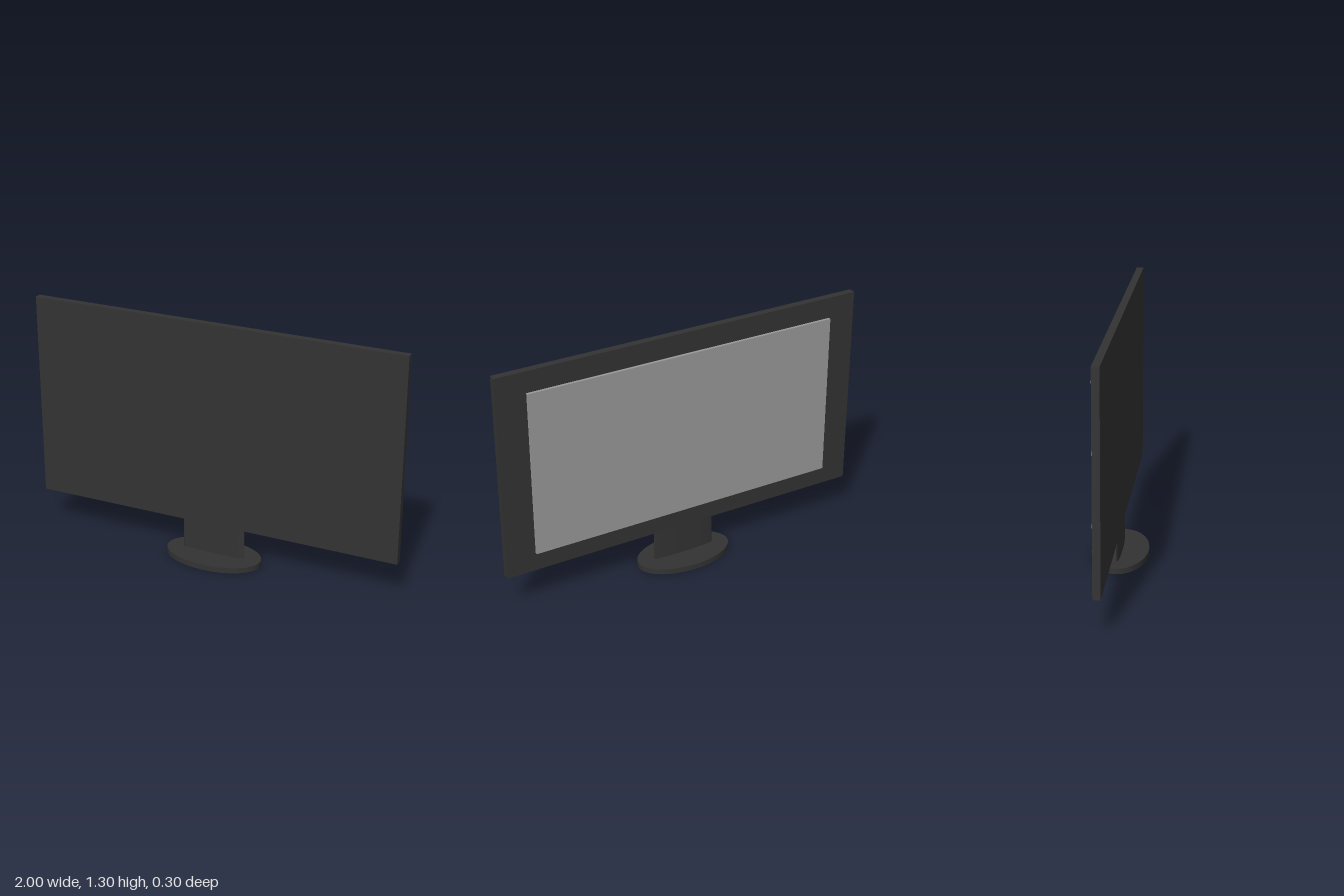
import * as THREE from 'three';

export function createModel() {
  const model = new THREE.Group();
  const dark = new THREE.MeshStandardMaterial({ color: 0x333333 });
  const grey = new THREE.MeshStandardMaterial({ color: 0x999999 });

  // Places a geometry so that it rests on height y
  const add = (name, geometry, material, x, y, z, height) => {
    const mesh = new THREE.Mesh(geometry, material);
    mesh.name = name;
    mesh.position.set(x, y + height / 2, z);
    model.add(mesh);
  };

  // Upright cylinder with an oval footprint
  const oval = (rx, rz, height) =>
    new THREE.CylinderGeometry(1, 1, height, 48).scale(rx, 1, rz);

  // Stand: oval foot and thin oval neck
  add('base', oval(0.262, 0.148, 0.03), dark, -0.002, 0, 0, 0.03);
  add('neck', oval(0.173, 0.013, 0.19), dark, -0.002, 0.02, 0, 0.19);

  // Wide flat housing
  add('panel', new THREE.BoxGeometry(2, 1.096, 0.038), dark, 0, 0.2, 0, 1.096);

  // Lighter screen plate, held just off the housing
  add('screen', new THREE.BoxGeometry(1.69, 0.882, 0.015), grey, 0, 0.305, -0.032, 0.882);

  return model;
}
